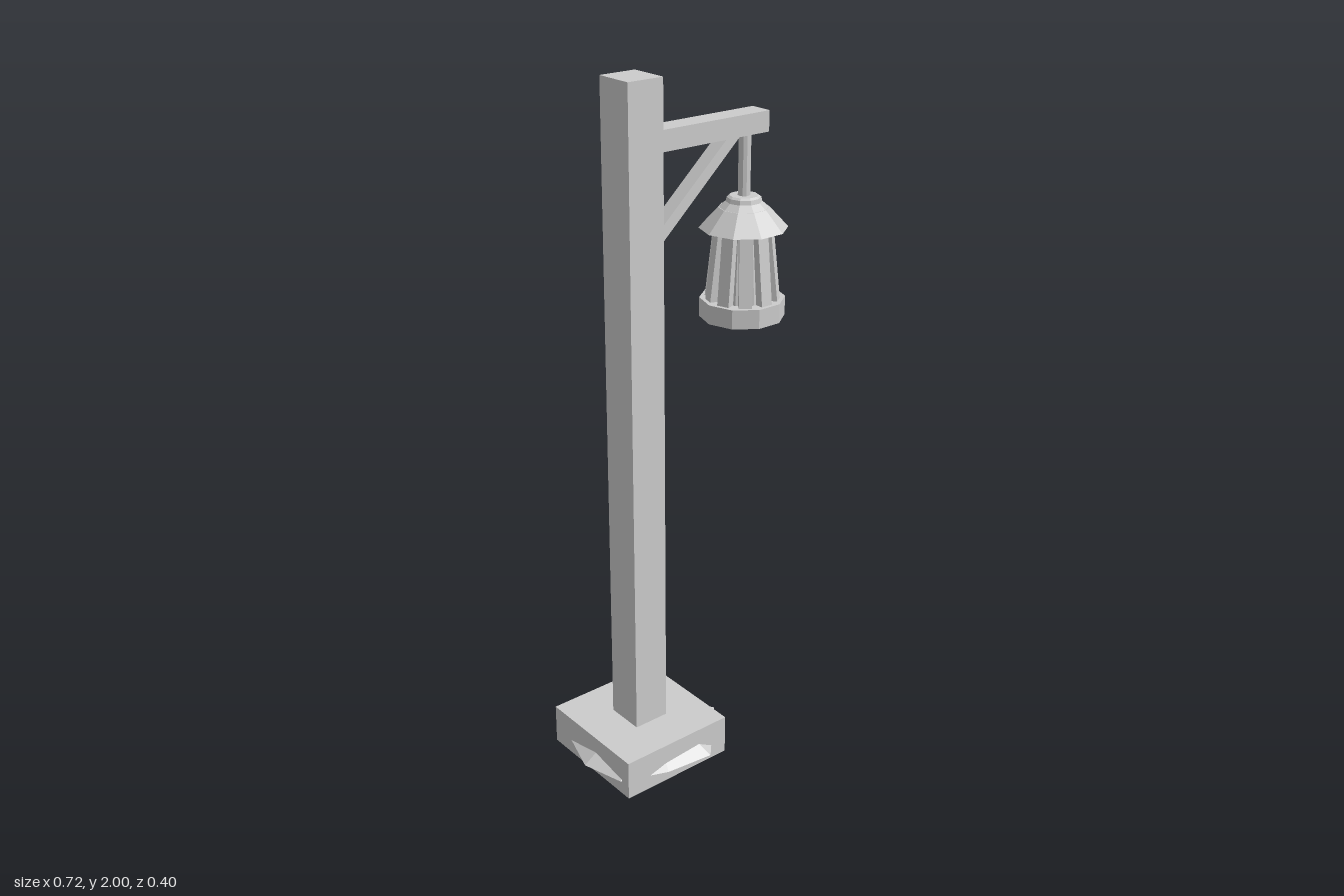
import * as THREE from 'three';
import { ConvexGeometry } from 'three/addons/geometries/ConvexGeometry.js';
import { mergeVertices } from 'three/addons/utils/BufferGeometryUtils.js';

const SIDES = 10;

export function createModel() {
  const model = new THREE.Group();
  model.name = 'lampPost';
  const grey = new THREE.MeshStandardMaterial({ color: 0xcccccc, flatShading: true });
  grey.name = 'grey';

  const add = (name, geometry, parent = model) => {
    const mesh = new THREE.Mesh(geometry, grey);
    mesh.name = name;
    parent.add(mesh);
    return mesh;
  };
  // Box given by its limits on each axis
  const box = (name, [x0, x1], [y0, y1], [z0, z1]) =>
    add(name, new THREE.BoxGeometry(x1 - x0, y1 - y0, z1 - z0)
      .translate((x0 + x1) / 2, (y0 + y1) / 2, (z0 + z1) / 2));

  // Foot, post and arm
  box('foot', [-0.32, 0.04], [0, 0.12], [-0.198, 0.162]);
  box('post', [-0.195, -0.085], [0.12, 2], [-0.077, 0.038]);
  box('arm', [-0.085, 0.29], [1.805, 1.862], [-0.05, 0.017]);

  // Diagonal brace under the arm
  const braceShape = new THREE.Shape([
    [-0.087, 1.542], [0.2, 1.806], [0.155, 1.806], [-0.087, 1.585],
  ].map(([x, y]) => new THREE.Vector2(x, y)));
  add('brace', new THREE.ExtrudeGeometry(braceShape, { depth: 0.046, bevelEnabled: false })
    .translate(0, 0, -0.04));

  // Flat stone that pokes out of the foot: a rim with smaller rings above and below
  const rim = [
    [-0.36, 0.005], [-0.325, 0.13], [-0.19, 0.182], [-0.045, 0.197], [0.118, 0.02],
    [0.08, -0.05], [0.04, -0.083], [-0.2, -0.2], [-0.32, -0.12],
  ];
  const stonePoints = [];
  for (const [scale, y] of [[1, 0.043], [0.74, 0.082], [0.74, 0.032]]) {
    for (const [x, z] of rim) {
      stonePoints.push(new THREE.Vector3(-0.13 + (x + 0.13) * scale, y, z * scale));
    }
  }
  const stone = new ConvexGeometry(stonePoints);
  stone.deleteAttribute('normal');
  const smoothStone = mergeVertices(stone);
  smoothStone.computeVertexNormals();
  add('stone', smoothStone);

  // Hanging lantern
  const lantern = new THREE.Group();
  lantern.name = 'lantern';
  lantern.position.set(0.235, 0, -0.017);
  model.add(lantern);
  const turned = (name, profile) => add(name, new THREE.LatheGeometry(
    profile.map(([r, y]) => new THREE.Vector2(r, y)), SIDES, Math.PI / SIDES), lantern);

  turned('lanternBase', [[0, 1.29], [0.12, 1.29], [0.12, 1.345], [0, 1.345]]);
  turned('lanternCore', [[0.083, 1.345], [0.064, 1.545]]);
  turned('lanternRoof', [[0, 1.545], [0.123, 1.545], [0.07, 1.602], [0, 1.602]]);
  turned('lanternCap', [[0.068, 1.602], [0.05, 1.618], [0.047, 1.63], [0.04, 1.635], [0, 1.635]]);
  turned('hangingRod', [[0.017, 1.63], [0.017, 1.806]]);

  // Sloping bars around the core
  for (let i = 0; i < SIDES; i++) {
    const bar = new THREE.BoxGeometry(0.036, 0.206, 0.03)
      .rotateX(-0.11)
      .translate(0, 1.445, 0.077)
      .rotateY((i * 2 * Math.PI) / SIDES);
    add('lanternBar', bar, lantern);
  }

  return model;
}
